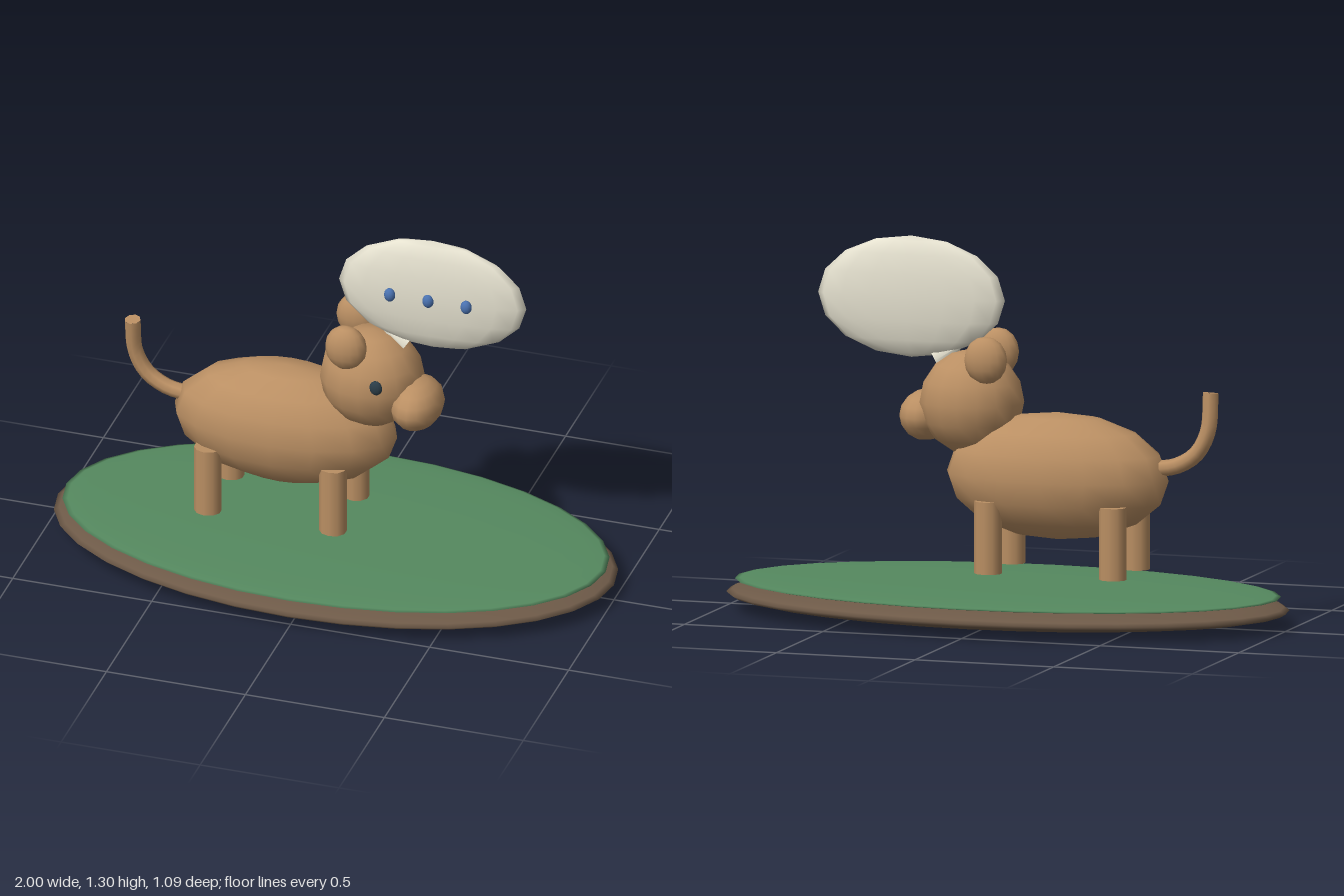
import * as THREE from 'three';

const mat = (color) => new THREE.MeshStandardMaterial({ color });
const TAN = mat(0xba8f63), GREEN = mat(0x55895f), EARTH = mat(0x6e5a48);
const CREAM = mat(0xe6e2d0), BLUE = mat(0x4a72b0), DARK = mat(0x2b3d48);

export function createModel() {
  const model = new THREE.Group();
  model.name = 'dogWithSpeechBubble';

  const add = (name, geometry, material, pos = [0, 0, 0], parent = model) => {
    const mesh = new THREE.Mesh(geometry, material);
    mesh.name = name;
    mesh.position.set(...pos);
    parent.add(mesh);
    return mesh;
  };
  const ellipsoid = (name, material, pos, radii, parent = model, w = 16, h = 8) => {
    const mesh = add(name, new THREE.SphereGeometry(1, w, h), material, pos, parent);
    mesh.scale.set(...radii);
    return mesh;
  };

  // Oval ground: earth with a thin layer of grass
  ellipsoid('earth', EARTH, [0, 0.058, 0], [1, 0.058, 0.545], model, 32, 16);
  ellipsoid('grass', GREEN, [0, 0.104, 0], [0.97, 0.018, 0.52], model, 32, 16);

  // Dog body and legs
  const dog = new THREE.Group();
  dog.name = 'dog';
  model.add(dog);
  ellipsoid('body', TAN, [-0.18, 0.5, 0], [0.4, 0.22, 0.195], dog);
  for (const x of [-0.42, 0.03]) {
    for (const z of [-0.126, 0.126]) {
      const leg = add('leg', new THREE.CylinderGeometry(1, 1, 0.25, 10), TAN, [x, 0.295, z], dog);
      leg.scale.set(0.048, 1, 0.043);
    }
  }

  // Tail curving up, with a closed tip
  const path = new THREE.CatmullRomCurve3([
    [-0.53, 0.54, 0], [-0.61, 0.555, 0], [-0.68, 0.6, 0], [-0.72, 0.68, 0.005], [-0.725, 0.81, 0.02],
  ].map((p) => new THREE.Vector3(...p)));
  add('tail', new THREE.TubeGeometry(path, 14, 0.028, 8), TAN, [0, 0, 0], dog);
  const cap = add('tailTip', new THREE.CircleGeometry(0.028, 8), TAN, path.getPoint(1).toArray(), dog);
  cap.quaternion.setFromUnitVectors(new THREE.Vector3(0, 0, 1), path.getTangent(1));

  // Head, turned slightly to the front
  const head = new THREE.Group();
  head.name = 'head';
  dog.add(head);
  ellipsoid('skull', TAN, [0.133, 0.74, 0.008], [0.182, 0.182, 0.163], head);
  ellipsoid('muzzle', TAN, [0.308, 0.682, 0.045], [0.09, 0.088, 0.128], head);
  ellipsoid('rightEar', TAN, [0.075, 0.9, 0.12], [0.074, 0.083, 0.049], head);
  ellipsoid('leftEar', TAN, [0.047, 0.902, -0.1], [0.077, 0.082, 0.049], head);
  ellipsoid('eye', DARK, [0.197, 0.785, 0.165], [0.023, 0.027, 0.013], head, 12, 8);

  // Speech bubble with three dots and a small pointer
  const bubble = new THREE.Group();
  bubble.name = 'speechBubble';
  model.add(bubble);
  ellipsoid('bubble', CREAM, [0.348, 1.095, 0], [0.337, 0.21, 0.053], bubble);
  for (const x of [0.21, 0.348, 0.485]) {
    ellipsoid('dot', BLUE, [x, 1.095, 0.052], [0.02, 0.025, 0.017], bubble, 12, 8);
  }
  const pointer = add('pointer', new THREE.ConeGeometry(0.04, 0.13, 8), CREAM, [0.2, 0.915, 0], bubble);
  pointer.rotation.z = 1.0;
  pointer.scale.z = 0.65;

  return model;
}
